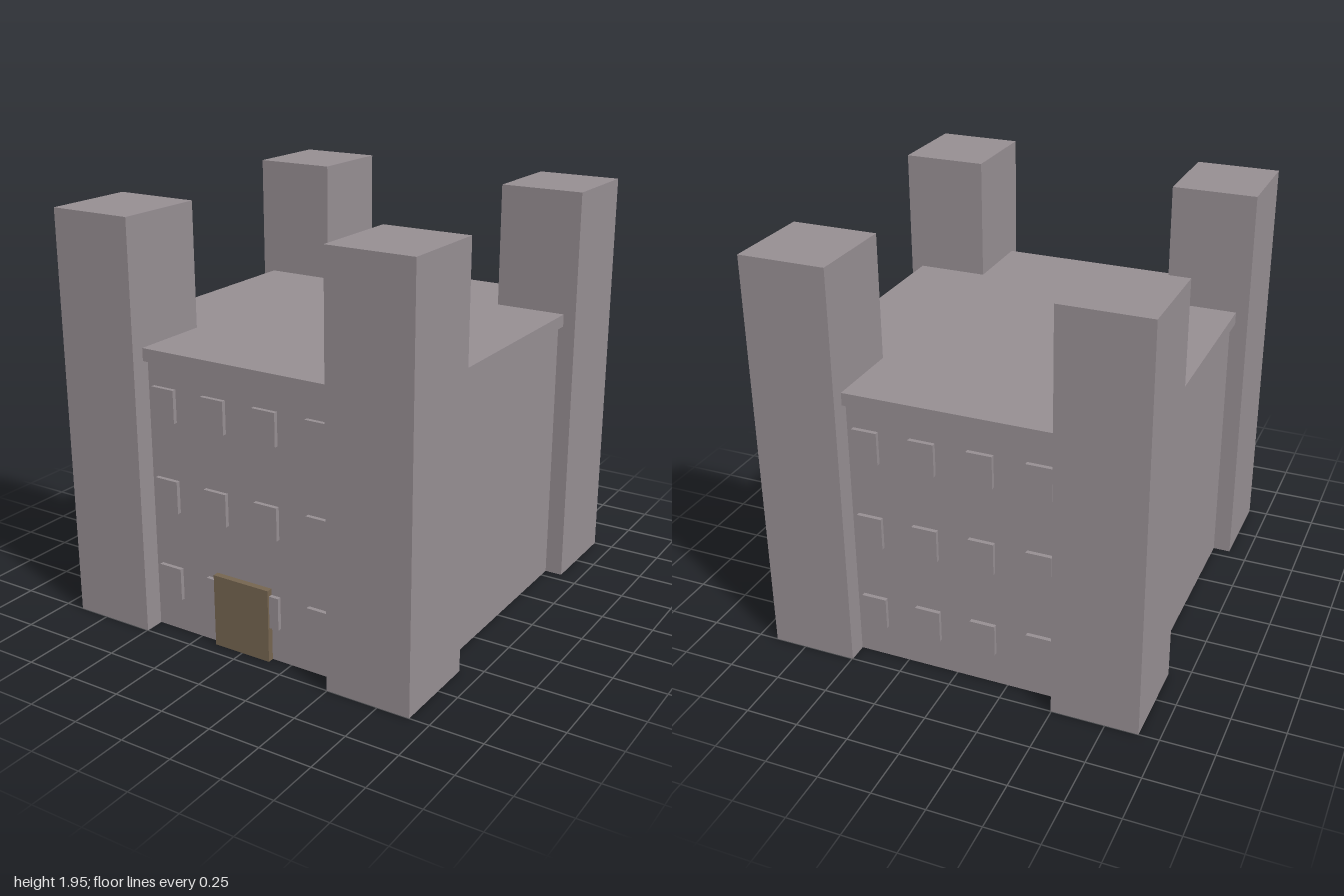
import * as THREE from 'three';

export function createModel() {
  const castle = new THREE.Group();
  castle.name = 'castle';

  const stone = new THREE.MeshStandardMaterial({ color: 0x968e92 });
  stone.name = 'stone';
  const wood = new THREE.MeshStandardMaterial({ color: 0x756550 });
  wood.name = 'wood';

  // Box given by its size, centre x and z, and the height of its base
  function addBox(name, material, [w, h, d], x, base, z) {
    const mesh = new THREE.Mesh(new THREE.BoxGeometry(w, h, d), material);
    mesh.name = name;
    mesh.position.set(x, base + h / 2, z);
    castle.add(mesh);
    return mesh;
  }

  // Main block and overhanging roof slab
  addBox('keep', stone, [1.64, 1.3, 1.81], 0, 0, 0);
  addBox('roofSlab', stone, [1.69, 0.06, 1.874], 0, 1.3, 0);

  // Four corner towers
  for (const sx of [-1, 1]) {
    for (const sz of [-1, 1]) {
      addBox('cornerTower', stone, [0.408, 1.95, 0.446], sx * 0.701, 0, sz * 0.777);
    }
  }

  // Raised window blocks on the front and back walls
  for (const sz of [-1, 1]) {
    for (const base of [0.165, 0.597, 1.03]) {
      for (const x of [-0.407, -0.136, 0.136, 0.407]) {
        addBox('window', stone, [0.12, 0.155, 0.04], x, base, sz * 0.905);
      }
    }
  }

  // Door at the front
  addBox('door', wood, [0.296, 0.35, 0.06], 0, 0, 0.905);

  return castle;
}
